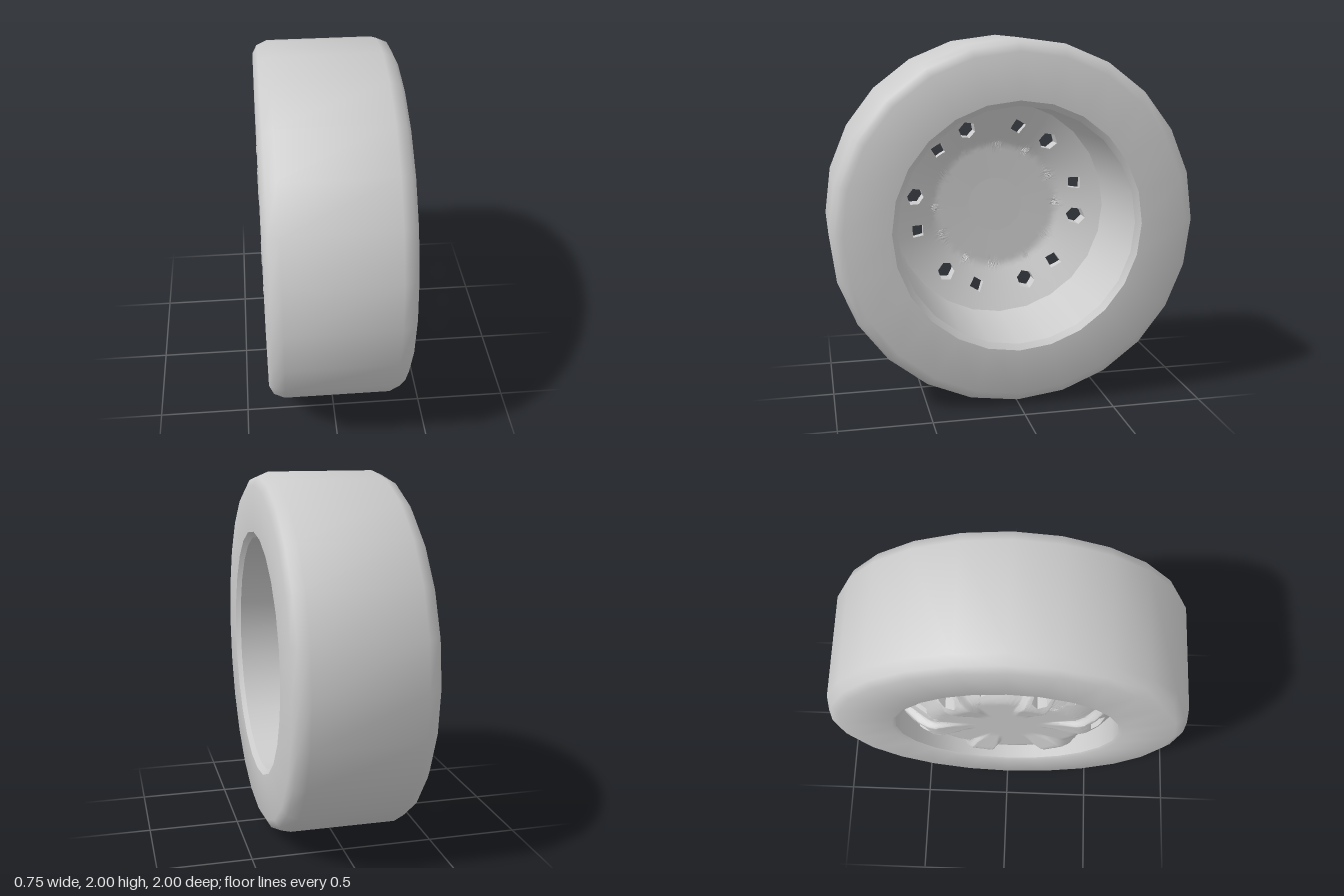
import * as THREE from 'three';
import { mergeGeometries, toCreasedNormals } from 'three/addons/utils/BufferGeometryUtils.js';

const DEG = Math.PI / 180;
const LUG_ANGLE = 9, SLOT_ANGLE = 45, HOLE_RADIUS = 0.49;
const RIM = { min: 0.16, max: 0.64 };

// Piecewise linear profile through [r, value] points
function profile(points, r) {
  for (let i = 1; i < points.length; i++) {
    const [r0, v0] = points[i - 1], [r1, v1] = points[i];
    if (r <= r1) return THREE.MathUtils.lerp(v0, v1, Math.max(0, (r - r0) / (r1 - r0)));
  }
  return points[points.length - 1][1];
}

// Outer face of the wheel disc: plateau, cone and six raised lugs
function outerFace(r, angle) {
  const base = profile([[0, -0.345], [0.4, -0.345], [0.44, -0.33], [0.64, -0.19]], r);
  const height = profile([[0.2, 0], [0.42, 0.037], [0.5, 0.05], [0.58, 0.035], [0.64, 0]], r);
  const off = THREE.MathUtils.euclideanModulo(angle / DEG - LUG_ANGLE + 30, 60) - 30;
  const width = profile([[0.2, 0.03], [0.32, 0.07], [0.64, 0.085]], r);
  const mask = 1 - THREE.MathUtils.smoothstep(Math.abs(off * DEG * r), width - 0.012, width + 0.012);
  return base - height * mask;
}

// Inner face of the disc: plain bowl
function innerFace(r) {
  return profile([[0, -0.315], [0.37, -0.305], [0.64, -0.16]], r);
}

// A 30 degree sector of the disc, pierced by one polygonal hole
function sector(midAngle, holeAngle, sides, size, twist) {
  const N = 48, STEPS = 12, rings = [], positions = [], index = [];
  const ring = (t, face) => {
    for (let i = 0; i <= N; i++) {
      const phi = (i % N) / N * Math.PI * 2;
      const c = Math.cos(phi), s = Math.sin(phi), m = Math.max(Math.abs(c), Math.abs(s));
      const seg = Math.PI * 2 / sides;
      const local = THREE.MathUtils.euclideanModulo(phi + twist, seg) - seg / 2;
      const k = size * Math.cos(seg / 2) / Math.cos(local);
      const holeR = HOLE_RADIUS + k * c, holeA = holeAngle * DEG + k * s / HOLE_RADIUS;
      const edgeR = (RIM.min + RIM.max) / 2 + (RIM.max - RIM.min) / 2 * c / m;
      const edgeA = (midAngle + 15 * s / m) * DEG;
      const r = THREE.MathUtils.lerp(holeR, edgeR, t), a = THREE.MathUtils.lerp(holeA, edgeA, t);
      positions.push(face(r, a), r * Math.sin(a), r * Math.cos(a));
    }
    rings.push(t);
  };
  // inner face, hole wall, outer face as one continuous strip
  for (let j = STEPS; j >= 0; j--) ring(j / STEPS, innerFace);
  for (let j = 0; j <= STEPS; j++) ring(j / STEPS, outerFace);
  for (let j = 0; j < rings.length - 1; j++) {
    for (let i = 0; i < N; i++) {
      const a = j * (N + 1) + i, b = a + N + 1;
      index.push(a, b, b + 1, a, b + 1, a + 1);
    }
  }
  const geometry = new THREE.BufferGeometry();
  geometry.setAttribute('position', new THREE.Float32BufferAttribute(positions, 3));
  geometry.setIndex(index);
  return geometry;
}

export function createModel() {
  const group = new THREE.Group();
  const grey = new THREE.MeshStandardMaterial({ color: 0xcccccc });
  grey.name = 'light grey';

  const wheel = new THREE.Group();
  wheel.name = 'wheel';
  wheel.position.y = 1;
  group.add(wheel);
  const add = (name, geometry) => {
    const mesh = new THREE.Mesh(geometry, grey);
    mesh.name = name;
    wheel.add(mesh);
  };

  // Tyre and barrel: closed ring with rounded shoulders
  const section = [
    [0.62, -0.365], [0.64, -0.375], [0.93, -0.372], [0.975, -0.347], [1, -0.29],
    [1, 0.29], [0.975, 0.347], [0.93, 0.372], [0.68, 0.375], [0.65, 0.35],
    [0.625, -0.2], [0.62, -0.365],
  ].map(([r, x]) => new THREE.Vector2(r, x));
  const tyre = new THREE.LatheGeometry(section, 24);
  tyre.rotateZ(-Math.PI / 2);
  add('tyre', toCreasedNormals(tyre, 40 * DEG));

  // Wheel disc: alternating lug sectors and slot sectors
  const sectors = [];
  for (let k = 0; k < 6; k++) {
    sectors.push(sector(12 + 60 * k, LUG_ANGLE + 60 * k, 6, 0.052, 0));
    sectors.push(sector(42 + 60 * k, SLOT_ANGLE + 60 * k, 4, 0.046, Math.PI / 6));
  }
  add('wheelDisc', toCreasedNormals(mergeGeometries(sectors), 35 * DEG));

  // Hub centre closing the disc
  const hub = new THREE.CylinderGeometry(RIM.min + 0.002, RIM.min + 0.002, 0.034, 48);
  hub.rotateZ(-Math.PI / 2);
  hub.translate(-0.328, 0, 0);
  add('hubCentre', hub);

  return group;
}
